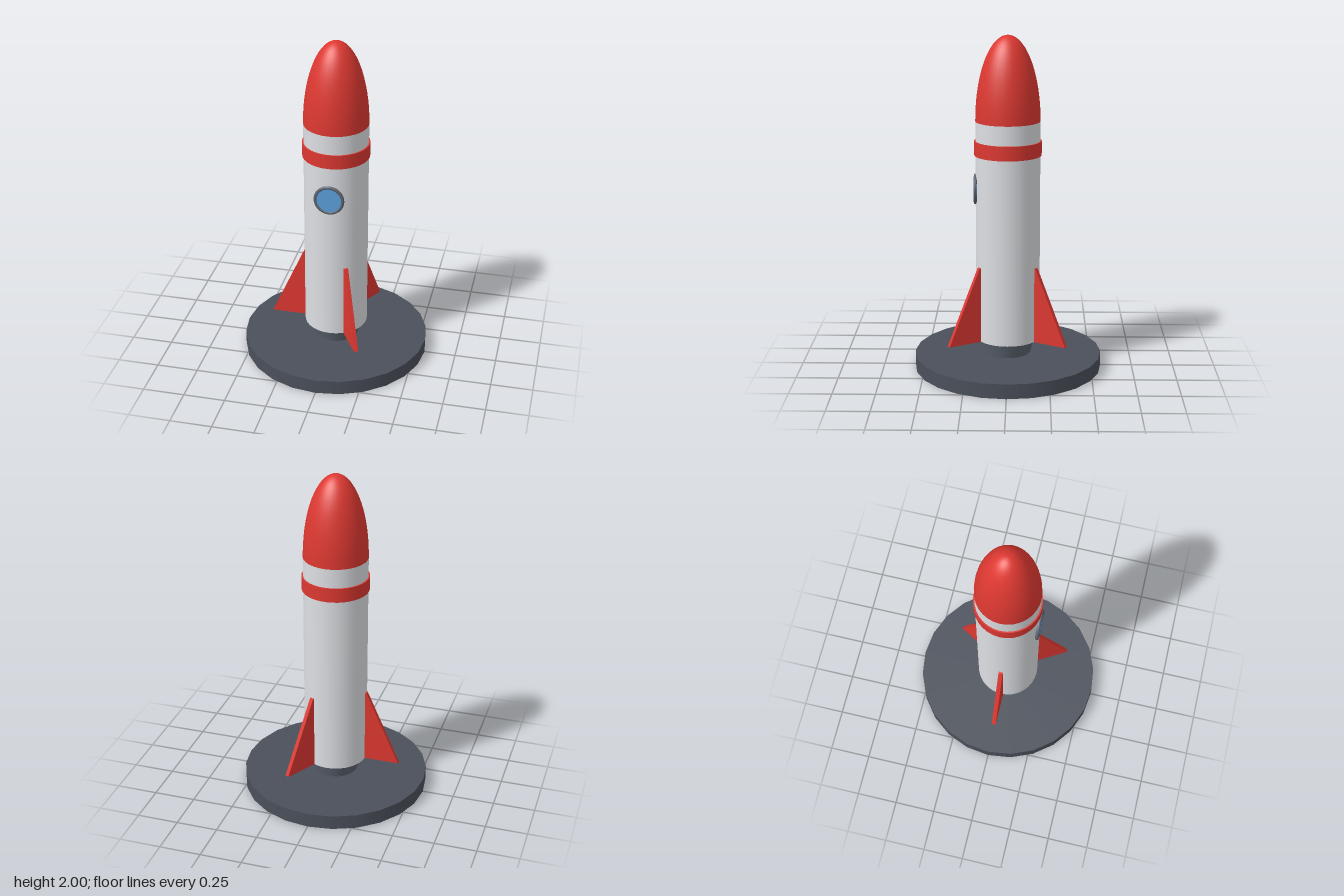
import * as THREE from 'three';

const mat = (name, color, side = THREE.FrontSide) => {
  const m = new THREE.MeshStandardMaterial({ color, side });
  m.name = name;
  return m;
};

export function createModel() {
  const white = mat('hull white', 0xdddfe3);
  const red = mat('bright red', 0xde3831);
  const dark = mat('pad grey', 0x4b505b);
  const steel = mat('steel grey', 0x5c6470);
  const blue = mat('window blue', 0x5a9fda);

  const rocket = new THREE.Group();
  rocket.name = 'rocket';
  const add = (name, geometry, material, x = 0, y = 0, z = 0) => {
    const mesh = new THREE.Mesh(geometry, material);
    mesh.name = name;
    mesh.position.set(x, y, z);
    rocket.add(mesh);
    return mesh;
  };
  // Upright drum between two heights
  const drum = (name, rTop, rBottom, y0, y1, material, sides = 32) =>
    add(name, new THREE.CylinderGeometry(rTop, rBottom, y1 - y0, sides), material, 0, (y0 + y1) / 2);

  // Stand, engine nozzle and hull
  drum('launchPad', 0.56, 0.56, 0, 0.088, dark, 24);
  drum('nozzle', 0.162, 0.135, 0.085, 0.182, steel);
  drum('hull', 0.19, 0.19, 0.18, 1.5, white);
  drum('collarBand', 0.198, 0.198, 1.3, 1.385, red);

  // Nose cone: half ellipse turned about the axis
  const nose = [];
  for (let i = 0; i <= 20; i++) {
    const a = (i / 20) * Math.PI / 2;
    nose.push(new THREE.Vector2(Math.max(0.19 * Math.cos(a), 0), 1.5 + 0.5 * Math.sin(a)));
  }
  add('noseCone', new THREE.LatheGeometry(nose, 32), red);

  // Porthole on the front
  const porthole = (name, r, z0, z1, material) => {
    const g = new THREE.CylinderGeometry(r, r, z1 - z0, 32).rotateX(Math.PI / 2);
    add(name, g, material, 0, 1.095, (z0 + z1) / 2);
  };
  add('portholeRim', new THREE.TorusGeometry(0.081, 0.01, 10, 32), steel, 0, 1.095, 0.19);
  porthole('portholeGlass', 0.08, 0.18, 0.196, blue);

  // Three swept fins, one to the right and two at the left front and back
  const outline = new THREE.Shape([
    new THREE.Vector2(0.17, 0.18),
    new THREE.Vector2(0.4, 0.18),
    new THREE.Vector2(0.197, 0.635),
    new THREE.Vector2(0.17, 0.64),
  ]);
  const finGeometry = new THREE.ExtrudeGeometry(outline, { depth: 0.026, bevelEnabled: false });
  finGeometry.translate(0, 0, -0.013);
  for (let i = 0; i < 3; i++) {
    add('fin', finGeometry, red).rotation.y = Math.PI + (i * 2 * Math.PI) / 3;
  }

  return rocket;
}
